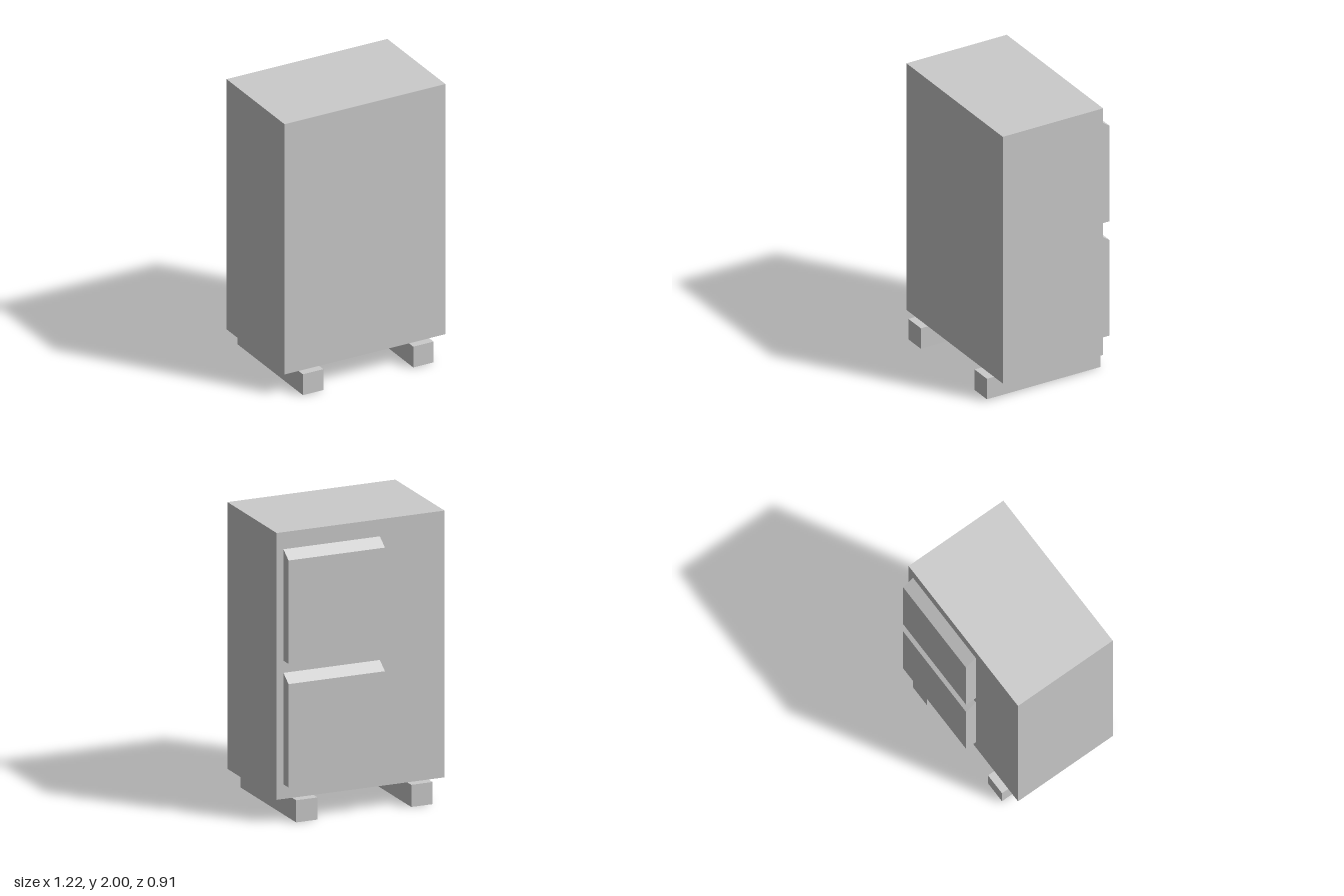
import * as THREE from 'three';

export function createModel() {
  const model = new THREE.Group();
  model.name = 'cabinet';
  const grey = new THREE.MeshStandardMaterial({ color: 0xcccccc, flatShading: true });

  // Box given by its minimum and maximum corners
  function box(name, [x0, y0, z0], [x1, y1, z1]) {
    const mesh = new THREE.Mesh(new THREE.BoxGeometry(x1 - x0, y1 - y0, z1 - z0), grey);
    mesh.position.set((x0 + x1) / 2, (y0 + y1) / 2, (z0 + z1) / 2);
    mesh.name = name;
    model.add(mesh);
  }

  // Cabinet body
  const back = -0.375;
  box('body', [-0.612, 0.157, back], [0.61, 2, 0.402]);

  // Two skids running front to back
  box('rightSkid', [-0.502, 0, -0.426], [-0.346, 0.153, 0.453]);
  box('leftSkid', [0.337, 0, -0.426], [0.492, 0.153, 0.453]);

  // Vent hoods on the back: side profile with a sloped top, extruded along x
  const height = 0.77, depth = 0.08;
  const profile = new THREE.Shape([
    new THREE.Vector2(0, 0),
    new THREE.Vector2(depth, 0),
    new THREE.Vector2(depth, height - 0.056),
    new THREE.Vector2(0, height),
  ]);
  const hoodGeometry = new THREE.ExtrudeGeometry(profile, { depth: 0.702, bevelEnabled: false });
  hoodGeometry.rotateY(Math.PI / 2);
  for (const [name, y] of [['lowerHood', 0.258], ['upperHood', 1.112]]) {
    const hood = new THREE.Mesh(hoodGeometry, grey);
    hood.position.set(-0.141, y, back);
    hood.name = name;
    model.add(hood);
  }

  return model;
}
